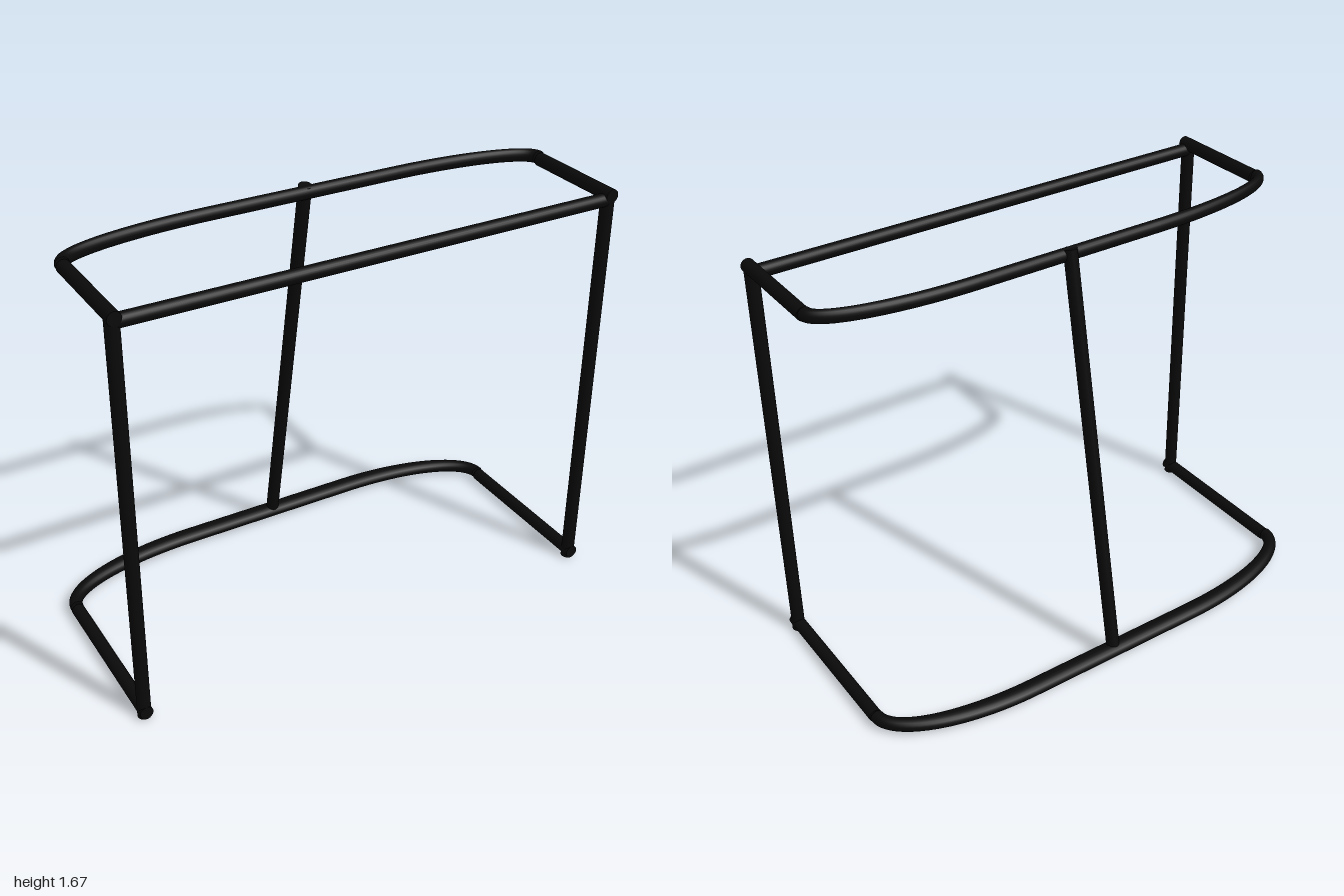
import * as THREE from 'three';
import { ParametricGeometry } from 'three/addons/geometries/ParametricGeometry.js';

const R = 0.026;    // pipe radius
const X = 0.973;    // post centre line
const FRONT = 0.443;

export function createModel() {
  const model = new THREE.Group();
  const material = new THREE.MeshStandardMaterial({ color: 0x0a0a0a });

  const add = (name, geometry, parent = model) => {
    const mesh = new THREE.Mesh(geometry, material);
    mesh.name = name;
    parent.add(mesh);
    return mesh;
  };

  // Straight round pipe between two points
  const pipe = (name, from, to) => {
    const a = new THREE.Vector3(...from), b = new THREE.Vector3(...to);
    const dir = b.clone().sub(a);
    const mesh = add(name, new THREE.CylinderGeometry(R, R, dir.length(), 24));
    mesh.position.copy(a).add(b).multiplyScalar(0.5);
    mesh.quaternion.setFromUnitVectors(new THREE.Vector3(0, 1, 0), dir.normalize());
  };

  // Rear hoop: quarter ellipse, straight run, quarter ellipse.
  // The pipe is R thick at its ends and "depth" thick along the back.
  const hoop = (name, y, zEnd, zBack, depth) => {
    const group = new THREE.Group();
    group.name = name;
    const n = 24, reach = zEnd - zBack;
    const sweep = (u, v, target) => {
      const s = u * (2 * n + 1);
      const t = (s <= n ? s : Math.max(n, s - 1)) / (2 * n) * Math.PI;
      const cx = THREE.MathUtils.lerp(0.4, -0.375, THREE.MathUtils.clamp(s - n, 0, 1));
      const a = v * Math.PI * 2;
      target.set(
        cx + (X - Math.abs(cx) + R * Math.cos(a)) * Math.cos(t),
        y + R * Math.sin(a),
        zEnd - (reach + depth * Math.cos(a)) * Math.sin(t)
      );
    };
    add(name + 'Pipe', new ParametricGeometry(sweep, 2 * n + 1, 20), group);
    for (const side of [-1, 1]) {
      add(name + 'EndCap', new THREE.CircleGeometry(R, 20), group).position.set(side * X, y, zEnd);
    }
    model.add(group);
  };

  // Posts and side rails
  for (const [side, label] of [[1, 'left'], [-1, 'right']]) {
    const x = side * X;
    pipe(label + 'Post', [x, 0, FRONT], [x, 1.637, FRONT]);
    pipe(label + 'TopRail', [x, 1.634, FRONT + R], [x, 1.634, 0.04]);
    pipe(label + 'BottomRail', [x, 0.029, FRONT + R], [x, 0.029, -0.206]);
  }

  // Front crossbar
  pipe('crossbar', [-X, 1.614, FRONT], [X, 1.614, FRONT]);

  // Curved rear frame
  hoop('topHoop', 1.639, 0.031, -0.105, 0.024);
  hoop('bottomHoop', 0.034, -0.216, -0.427, 0.039);

  // Sloping centre strut at the back
  pipe('rearStrut', [0.02, 0.03, -0.425], [0.02, 1.664, -0.114]);

  return model;
}
